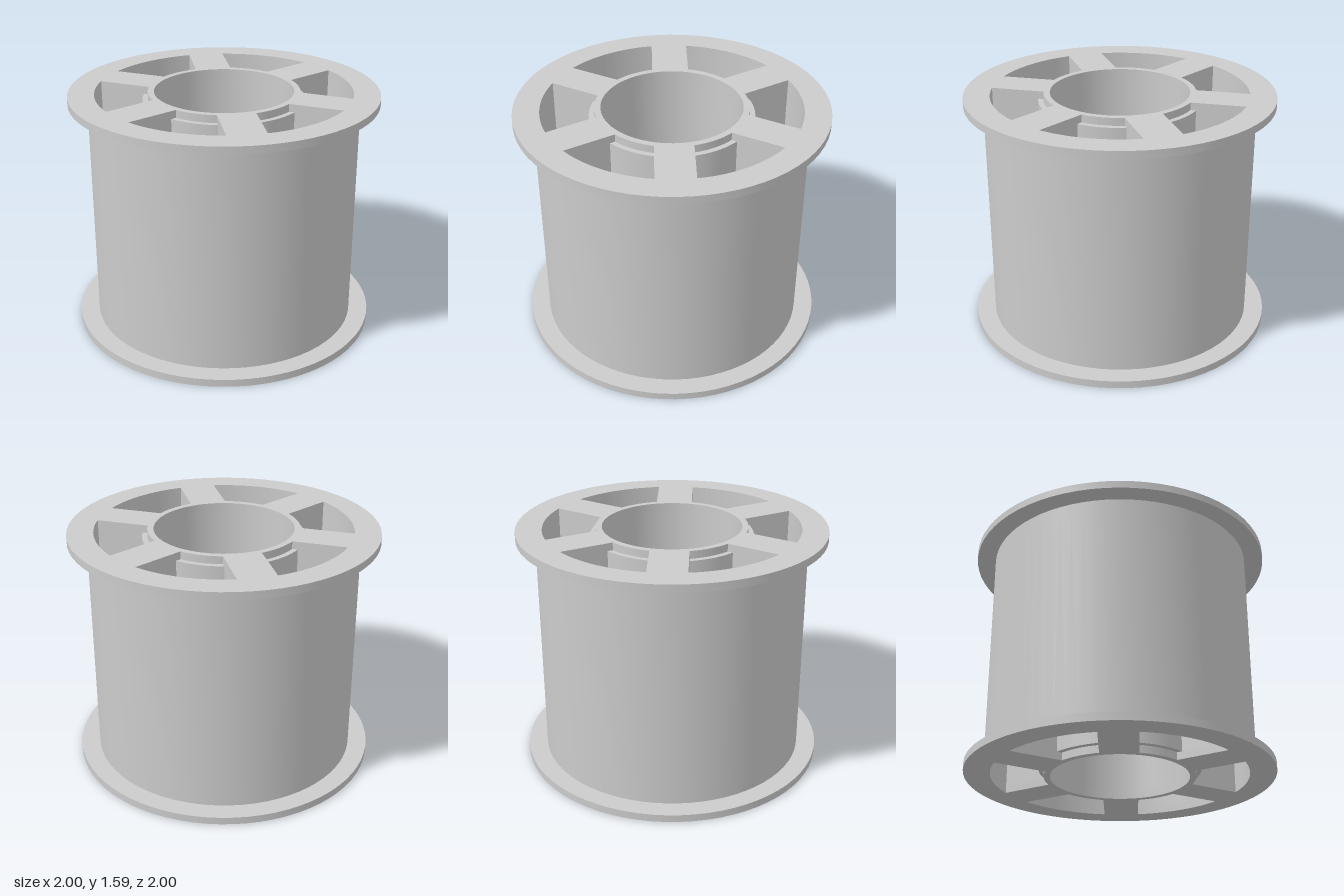
import * as THREE from 'three';
import { toCreasedNormals } from 'three/addons/utils/BufferGeometryUtils.js';

const BORE = 0.45, WINDOW_OUTER = 0.83, SPOKE_HALF = 0.12;
const HEIGHT = 1.59, FLANGE = 0.05;

// Window between two parallel-sided spokes, centred on the given angle
function windowPath(angle, inner) {
  const a = Math.PI / 6 - Math.asin(SPOKE_HALF / inner);
  const b = Math.PI / 6 - Math.asin(SPOKE_HALF / WINDOW_OUTER);
  const path = new THREE.Path();
  path.absarc(0, 0, WINDOW_OUTER, angle - b, angle + b, false);
  path.absarc(0, 0, inner, angle + a, angle - a, true);
  path.closePath();
  return path;
}

// Spoked disc with a central bore and six windows, standing on height y
function spokedDisc(name, radius, inner, y, height, material) {
  const shape = new THREE.Shape();
  shape.absarc(0, 0, radius, 0, Math.PI * 2, false);
  const bore = new THREE.Path();
  bore.absarc(0, 0, BORE, 0, Math.PI * 2, true);
  shape.holes.push(bore);
  for (let i = 0; i < 6; i++) shape.holes.push(windowPath(i * Math.PI / 3, inner));
  const geometry = new THREE.ExtrudeGeometry(shape, { depth: height, bevelEnabled: false, curveSegments: 36 });
  geometry.rotateX(-Math.PI / 2);
  const mesh = new THREE.Mesh(toCreasedNormals(geometry, 0.5), material);
  mesh.name = name;
  mesh.position.y = y;
  return mesh;
}

export function createModel() {
  const group = new THREE.Group();
  group.name = 'spool';
  const material = new THREE.MeshStandardMaterial({ color: 0xcccccc });
  // The hub wall of the barrel is slightly thicker than the flange lips, leaving a small ledge
  group.add(
    spokedDisc('bottomFlange', 1, 0.49, 0, FLANGE, material),
    spokedDisc('barrel', 0.875, 0.525, FLANGE, HEIGHT - 2 * FLANGE, material),
    spokedDisc('topFlange', 1, 0.49, HEIGHT - FLANGE, FLANGE, material)
  );
  return group;
}
